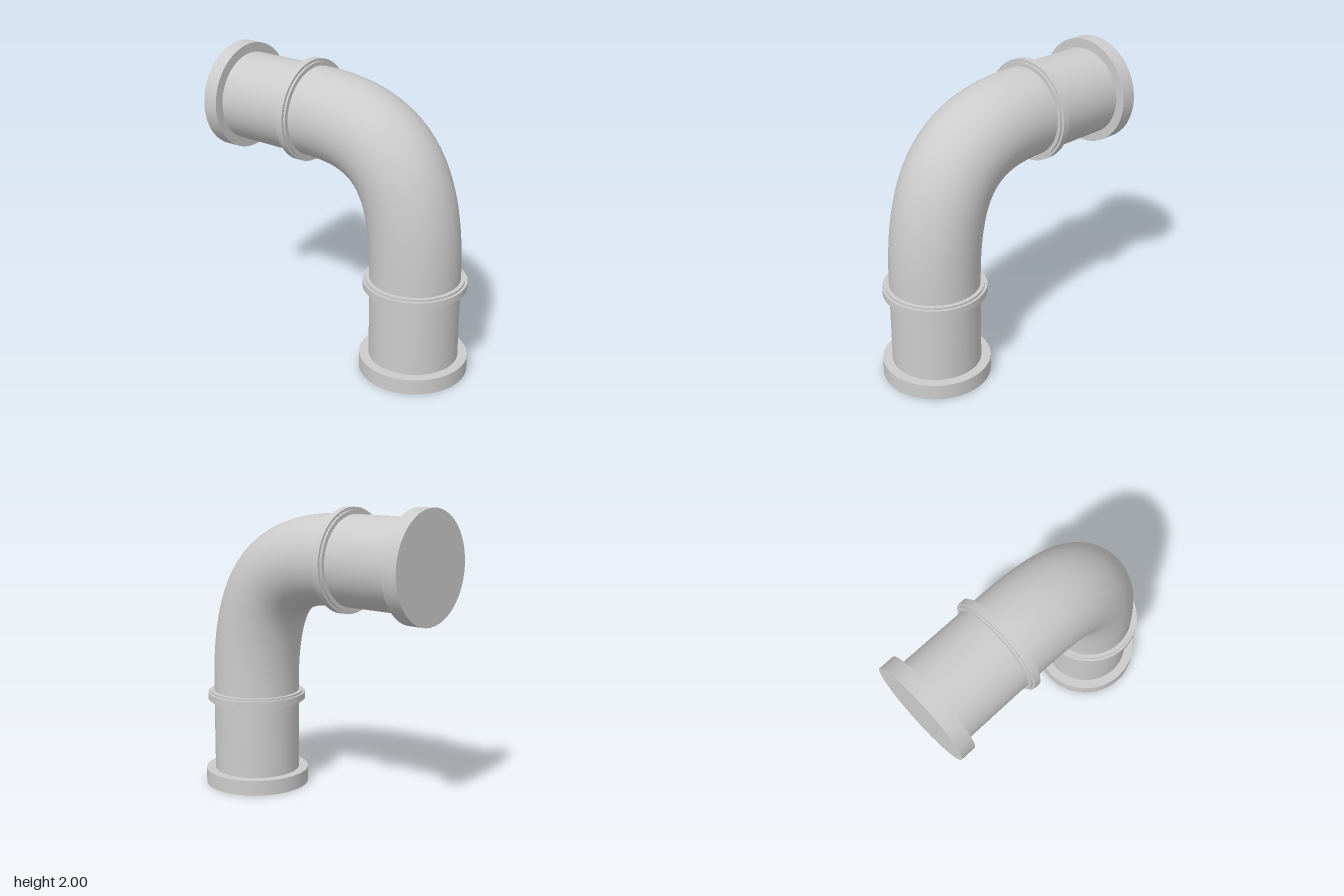
import * as THREE from 'three';

const SIDES = 48;
const PIPE_R = 0.298;
const AXIS_X = 0.555; // axis of the upright arm
const AXIS_Y = 1.64; // axis of the level arm
const ARM = 0.67; // length of each straight arm

const material = new THREE.MeshStandardMaterial({ color: 0xcccccc });

// Upright disc or pipe between two heights
function cylinder(name, radius, y0, y1, open = false) {
  const geometry = new THREE.CylinderGeometry(radius, radius, y1 - y0, SIDES, 1, open);
  geometry.translate(0, (y0 + y1) / 2, 0);
  const mesh = new THREE.Mesh(geometry, material);
  mesh.name = name;
  return mesh;
}

// Straight arm standing on its end flange, with a stepped collar at the top
function arm(name) {
  const group = new THREE.Group();
  group.name = name;
  group.add(
    cylinder('endFlange', 0.362, 0, 0.105),
    cylinder('straightPipe', PIPE_R, 0.1, ARM, true),
    cylinder('collarStep', 0.325, 0.595, ARM),
    cylinder('collarBand', 0.342, 0.609, 0.656),
  );
  return group;
}

export function createModel() {
  const model = new THREE.Group();
  model.name = 'pipeElbow';

  const lower = arm('lowerArm');
  lower.position.x = AXIS_X;

  const upper = arm('upperArm');
  upper.rotation.z = -Math.PI / 2;
  upper.position.set(-0.918, AXIS_Y, 0);

  // Bend sweeping from the level arm down into the upright one
  const startX = -0.918 + ARM;
  const pull = 0.74;
  const path = new THREE.CubicBezierCurve3(
    new THREE.Vector3(startX, AXIS_Y, 0),
    new THREE.Vector3(startX + pull * (AXIS_X - startX), AXIS_Y, 0),
    new THREE.Vector3(AXIS_X, ARM + pull * (AXIS_Y - ARM), 0),
    new THREE.Vector3(AXIS_X, ARM, 0),
  );
  const bend = new THREE.Mesh(new THREE.TubeGeometry(path, 28, PIPE_R, SIDES), material);
  bend.name = 'bend';

  model.add(lower, upper, bend);
  return model;
}
